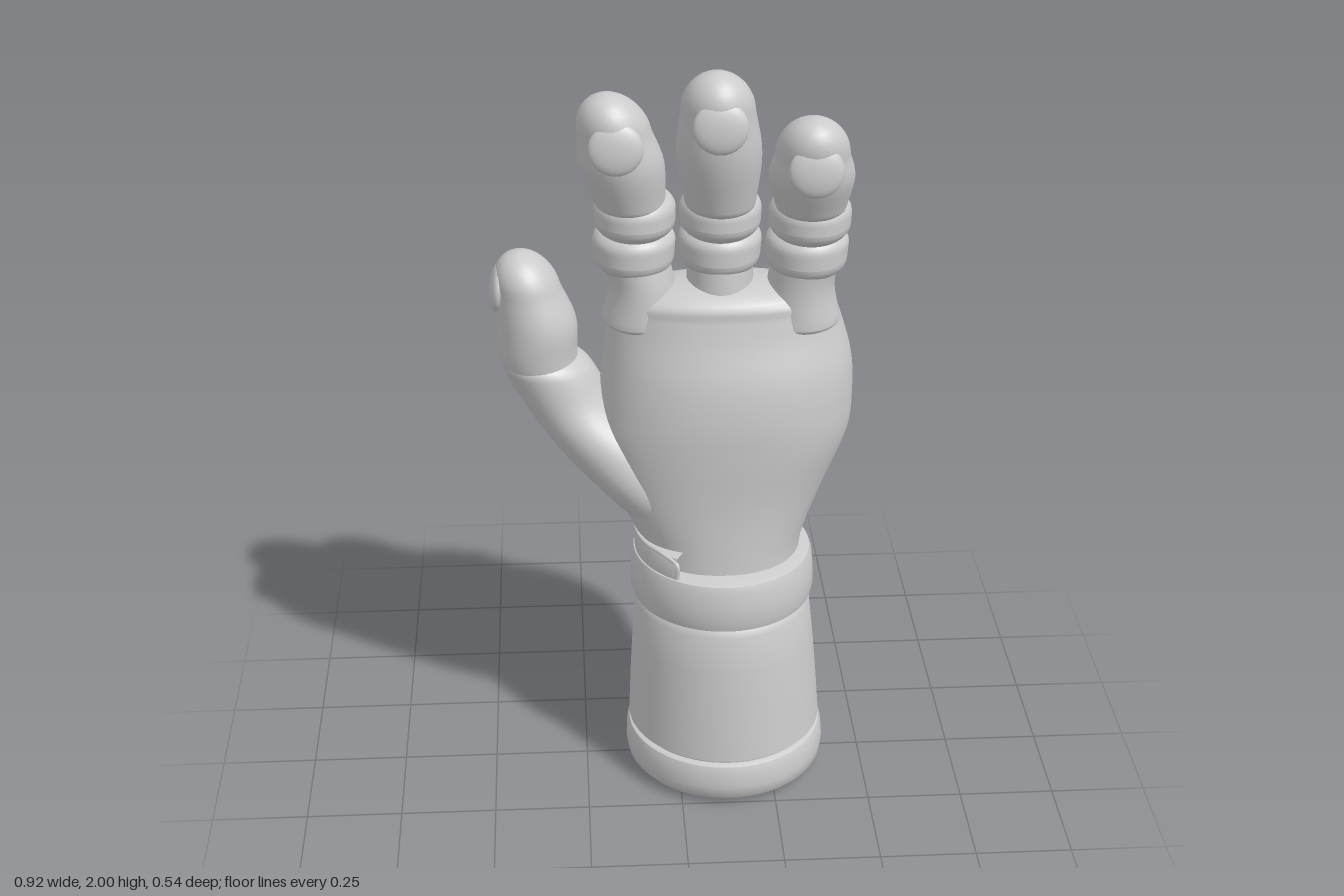
import * as THREE from 'three';
import { toCreasedNormals } from 'three/addons/utils/BufferGeometryUtils.js';

const grey = new THREE.MeshStandardMaterial({ color: 0xcccccc });
const greyDouble = new THREE.MeshStandardMaterial({ color: 0xcccccc, side: THREE.DoubleSide });

// Smooth loft through level oval sections [x, y, z, radiusX, radiusZ], with domed ends.
function loft(sections, bottomDome, topDome, power = 2, sides = 40) {
  const centres = new THREE.CatmullRomCurve3(sections.map(s => new THREE.Vector3(s[0], s[1], s[2])), false, 'catmullrom');
  const radii = new THREE.CatmullRomCurve3(sections.map(s => new THREE.Vector3(s[3], s[4], 0)), false, 'catmullrom');
  const rings = [];
  const steps = (sections.length - 1) * 6;
  for (let i = 0; i <= steps; i++) rings.push([centres.getPoint(i / steps), radii.getPoint(i / steps)]);

  const dome = (end, height, sign) => {
    const [c, r] = end;
    const lean = centres.getTangent(sign > 0 ? 1 : 0);
    lean.multiplyScalar(1 / lean.y);
    const out = [];
    for (let k = 1; k <= 9; k++) {
      const a = (k / 9) * Math.PI / 2;
      out.push([
        c.clone().addScaledVector(lean, sign * height * Math.sin(a)),
        r.clone().multiplyScalar(Math.max(Math.cos(a), 0.001)),
      ]);
    }
    return out;
  };
  const all = [...dome(rings[0], bottomDome, -1).reverse(), ...rings, ...dome(rings[steps], topDome, 1)];

  const pos = [], index = [];
  const soft = v => Math.sign(v) * Math.abs(v) ** (2 / power);
  all.forEach(([c, r], i) => {
    for (let j = 0; j < sides; j++) {
      const a = (j / sides) * Math.PI * 2;
      pos.push(c.x + r.x * soft(Math.cos(a)), c.y, c.z + r.y * soft(Math.sin(a)));
      if (i === all.length - 1) continue;
      const p = i * sides + j, q = i * sides + (j + 1) % sides;
      index.push(p, p + sides, q, q, p + sides, q + sides);
    }
  });
  const geo = new THREE.BufferGeometry();
  geo.setAttribute('position', new THREE.Float32BufferAttribute(pos, 3));
  geo.setIndex(index);
  geo.computeVertexNormals();
  return geo;
}

function add(parent, name, geo, material = grey) {
  const mesh = new THREE.Mesh(geo, material);
  mesh.name = name;
  parent.add(mesh);
  return mesh;
}

// The cuff leans slightly sideways with height.
const cuffX = y => 0.13 - 0.022 * y;

function turned(profile, phiStart = 0, phiLength = Math.PI * 2) {
  const geo = new THREE.LatheGeometry(profile.map(p => new THREE.Vector2(...p)), 64, phiStart, phiLength);
  const p = geo.attributes.position;
  for (let i = 0; i < p.count; i++) p.setX(i, p.getX(i) + cuffX(p.getY(i)));
  return toCreasedNormals(geo, 0.7);
}

// Shallow oval nail lying on a fingertip.
function addNail(parent, at, width, height, tilt, turn) {
  const nail = add(parent, 'nail', new THREE.SphereGeometry(1, 28, 16));
  nail.scale.set(width, height, 0.022);
  nail.rotation.set(tilt, turn, 0, 'YXZ');
  nail.position.set(...at);
}

export function createModel() {
  const model = new THREE.Group();
  model.name = 'hand';

  // Cuff: hem, tapering sleeve and wrist band
  const cuff = new THREE.Group();
  cuff.name = 'cuff';
  model.add(cuff);
  add(cuff, 'hem', turned([[0, 0], [0.21, 0.003], [0.25, 0.012], [0.265, 0.03], [0.269, 0.06],
    [0.266, 0.105], [0.26, 0.122], [0.247, 0.128], [0, 0.128]]));
  add(cuff, 'sleeve', turned([[0, 0.11], [0.246, 0.12], [0.248, 0.138], [0.259, 0.141], [0.252, 0.26],
    [0.242, 0.4], [0.232, 0.51], [0.226, 0.525], [0.215, 0.54], [0, 0.55]]));
  add(cuff, 'wristBand', turned([[0, 0.53], [0.222, 0.53], [0.236, 0.537], [0.242, 0.56], [0.242, 0.6],
    [0.238, 0.65], [0.232, 0.667], [0.215, 0.673], [0, 0.673]]));

  // Overlapping flap above the band, on the thumb side
  const seamAngle = Math.PI * 1.25, flapEnd = Math.PI * 1.81;
  add(cuff, 'wristFlap', turned([[0.18, 0.65], [0.228, 0.66], [0.23, 0.71], [0.222, 0.728], [0.18, 0.735]],
    seamAngle, flapEnd - seamAngle), greyDouble);

  // Seam up the cuff and around the flap
  const onCuff = (phi, r, y) => new THREE.Vector3(cuffX(y) + r * Math.sin(phi), y, r * Math.cos(phi));
  const seamPoints = [[0.257, 0.145], [0.251, 0.27], [0.242, 0.4], [0.232, 0.51], [0.242, 0.56], [0.24, 0.64], [0.23, 0.7]]
    .map(([r, y]) => onCuff(seamAngle, r, y));
  for (let i = 1; i <= 8; i++) {
    seamPoints.push(onCuff(seamAngle + (flapEnd - seamAngle) * i / 8, 0.224, i === 8 ? 0.71 : 0.728));
  }
  seamPoints.push(onCuff(flapEnd, 0.226, 0.67));
  add(cuff, 'seam', new THREE.TubeGeometry(new THREE.CatmullRomCurve3(seamPoints), 120, 0.006, 8));

  // Palm
  add(model, 'palm', loft([
    [0.115, 0.62, -0.01, 0.2, 0.195],
    [0.11, 0.72, -0.02, 0.22, 0.2],
    [0.105, 0.85, -0.035, 0.275, 0.213],
    [0.118, 1.0, -0.04, 0.322, 0.225],
    [0.125, 1.1, -0.042, 0.325, 0.228],
    [0.128, 1.2, -0.042, 0.317, 0.215],
    [0.12, 1.3, -0.035, 0.298, 0.178],
    [0.115, 1.37, -0.012, 0.278, 0.138],
  ], 0.02, 0.065, 2.15, 64));

  // Thumb: fleshy root and rounded tip
  const thumb = new THREE.Group();
  thumb.name = 'thumb';
  model.add(thumb);
  add(thumb, 'thumbRoot', loft([
    [0.01, 0.75, -0.025, 0.12, 0.14],
    [-0.05, 0.85, -0.03, 0.158, 0.165],
    [-0.155, 0.97, -0.045, 0.162, 0.155],
    [-0.27, 1.08, -0.05, 0.12, 0.125],
    [-0.328, 1.18, -0.045, 0.113, 0.112],
  ], 0.05, 0.06));
  add(thumb, 'thumbTip', loft([
    [-0.335, 1.14, -0.045, 0.09, 0.095],
    [-0.352, 1.22, -0.045, 0.1, 0.108],
    [-0.353, 1.31, -0.042, 0.1, 0.11],
    [-0.372, 1.4, -0.042, 0.082, 0.096],
  ], 0.04, 0.095));
  addNail(thumb, [-0.447, 1.4, -0.042], 0.06, 0.062, -0.12, -Math.PI / 2);

  // Fingers: stub, two ringed joints and a long tip; [x, z] centres from base to end
  const fingers = [
    { name: 'indexFinger', base: [-0.09, -0.01], low: [-0.108, -0.015], high: [-0.106, 0], start: [-0.118, 0.015], end: [-0.154, 0.052], top: 1.94 },
    { name: 'middleFinger', base: [0.105, -0.01], low: [0.105, -0.018], high: [0.103, 0.006], start: [0.101, 0.03], end: [0.09, 0.085], top: 2.0 },
    { name: 'littleFinger', base: [0.305, 0.01], low: [0.317, 0.015], high: [0.32, 0.04], start: [0.318, 0.062], end: [0.313, 0.115], top: 1.9 },
  ];
  for (const f of fingers) {
    const finger = new THREE.Group();
    finger.name = f.name;
    model.add(finger);
    const section = ([x, z], y, rx, rz) => [x, y, z, rx, rz];
    const mid = f.start.map((v, i) => v + (f.end[i] - v) * 0.55);
    const shoulder = f.top - 0.1;
    add(finger, 'fingerStub', loft([section(f.base, 1.33, 0.1, 0.105), section(f.base, 1.42, 0.084, 0.1),
      section(f.low, 1.5, 0.084, 0.1)], 0.03, 0.03));
    add(finger, 'lowerJoint', loft([section(f.low, 1.495, 0.1, 0.11), section(f.low, 1.535, 0.103, 0.11)], 0.055, 0.05));
    add(finger, 'middleJoint', loft([section(f.high, 1.595, 0.1, 0.108), section(f.high, 1.625, 0.101, 0.108)], 0.055, 0.055));
    add(finger, 'fingertip', loft([section(f.start, 1.65, 0.087, 0.096),
      section(mid, (1.65 + shoulder) / 2 + 0.01, 0.103, 0.109),
      section(f.end, shoulder, 0.089, 0.096)], 0.04, 0.1));
    addNail(finger, [f.end[0], f.top - 0.115, f.end[1] + 0.087], 0.066, 0.064, -0.12, 0);
  }
  return model;
}
